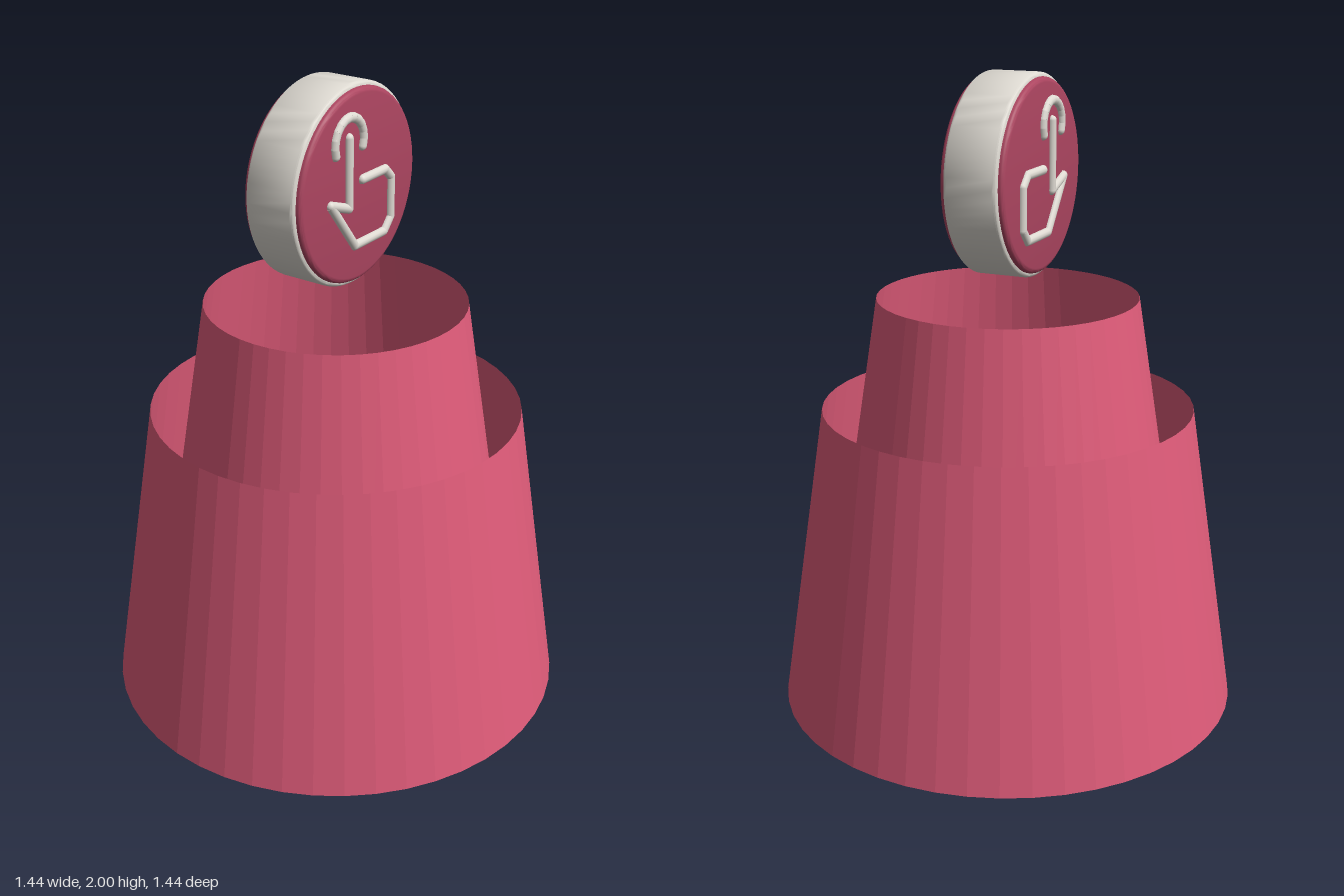
import * as THREE from 'three';
import { toCreasedNormals } from 'three/addons/utils/BufferGeometryUtils.js';

const rose = new THREE.MeshStandardMaterial({ color: 0xe05c7a, side: THREE.DoubleSide, flatShading: true });
rose.name = 'rose';
const deepRose = new THREE.MeshStandardMaterial({ color: 0xac4560 });
deepRose.name = 'deep rose';
const ivory = new THREE.MeshStandardMaterial({ color: 0xdedad2 });
ivory.name = 'ivory';

function add(parent, name, geometry, material) {
  const mesh = new THREE.Mesh(geometry, material);
  mesh.name = name;
  parent.add(mesh);
  return mesh;
}

// Open tapered sleeve between two heights
function sleeve(parent, name, bottomRadius, topRadius, y0, y1) {
  const geometry = new THREE.CylinderGeometry(topRadius, bottomRadius, y1 - y0, 48, 1, true);
  add(parent, name, geometry, rose).position.y = (y0 + y1) / 2;
}

// Solid disc with rounded rims, facing z
function disc(parent, name, radius, half, bevel, material) {
  const profile = [new THREE.Vector2(0, -half)];
  for (const side of [-1, 1]) {
    for (let i = 0; i <= 5; i++) {
      const a = (side < 0 ? i - 5 : i) / 5 * Math.PI / 2;
      profile.push(new THREE.Vector2(
        radius - bevel + bevel * Math.cos(a),
        side * (half - bevel) + bevel * Math.sin(a)));
    }
  }
  profile.push(new THREE.Vector2(0, half));
  const geometry = toCreasedNormals(new THREE.LatheGeometry(profile, 64).rotateX(Math.PI / 2), 0.6);
  add(parent, name, geometry, material);
}

// Round bar between consecutive points, with ball joints
function strokes(parent, name, points, radius) {
  const up = new THREE.Vector3(0, 1, 0);
  points.forEach((p, i) => {
    add(parent, name + 'Joint', new THREE.SphereGeometry(radius, 12, 8), ivory).position.copy(p);
    if (i === 0) return;
    const d = p.clone().sub(points[i - 1]);
    const bar = add(parent, name + 'Bar', new THREE.CylinderGeometry(radius, radius, d.length(), 12), ivory);
    bar.position.copy(p).addScaledVector(d, -0.5);
    bar.quaternion.setFromUnitVectors(up, d.normalize());
  });
}

export function createModel() {
  const model = new THREE.Group();
  model.name = 'steppedPedestal';

  // Nested open sleeves
  sleeve(model, 'outerSleeve', 0.72, 0.575, 0.035, 0.985);
  sleeve(model, 'innerSleeve', 0.61, 0.4, 0, 1.33);

  // Floating token
  const token = new THREE.Group();
  token.name = 'token';
  token.position.set(0, 1.7, -0.015);
  model.add(token);
  disc(token, 'tokenRim', 0.3, 0.084, 0.014, ivory);
  disc(token, 'tokenFaces', 0.287, 0.1, 0.016, deepRose);

  // Pointing hand relief, the same outline on both faces
  const hand = [[-0.058, 0.157], [-0.058, -0.05], [-0.148, 0.022 - 0.04], [-0.028, -0.171],
    [0.122, -0.171], [0.156, -0.134], [0.156, -0.01], [0.125, 0.02], [0.008, 0.02]];
  for (const z of [-0.1, 0.1]) {
    const relief = new THREE.Group();
    relief.name = z > 0 ? 'frontHand' : 'backHand';
    relief.position.z = z;
    token.add(relief);
    strokes(relief, 'hand', hand.map(([x, y]) => new THREE.Vector3(x, y, 0)), 0.0145);
    // Touch arc above the fingertip
    const arc = [];
    for (let i = 0; i <= 12; i++) {
      const a = THREE.MathUtils.degToRad(-22 + i * 224 / 12);
      arc.push(new THREE.Vector3(-0.058 + 0.07 * Math.cos(a), 0.146 + 0.07 * Math.sin(a), 0));
    }
    strokes(relief, 'touchArc', arc, 0.0145);
  }
  return model;
}
